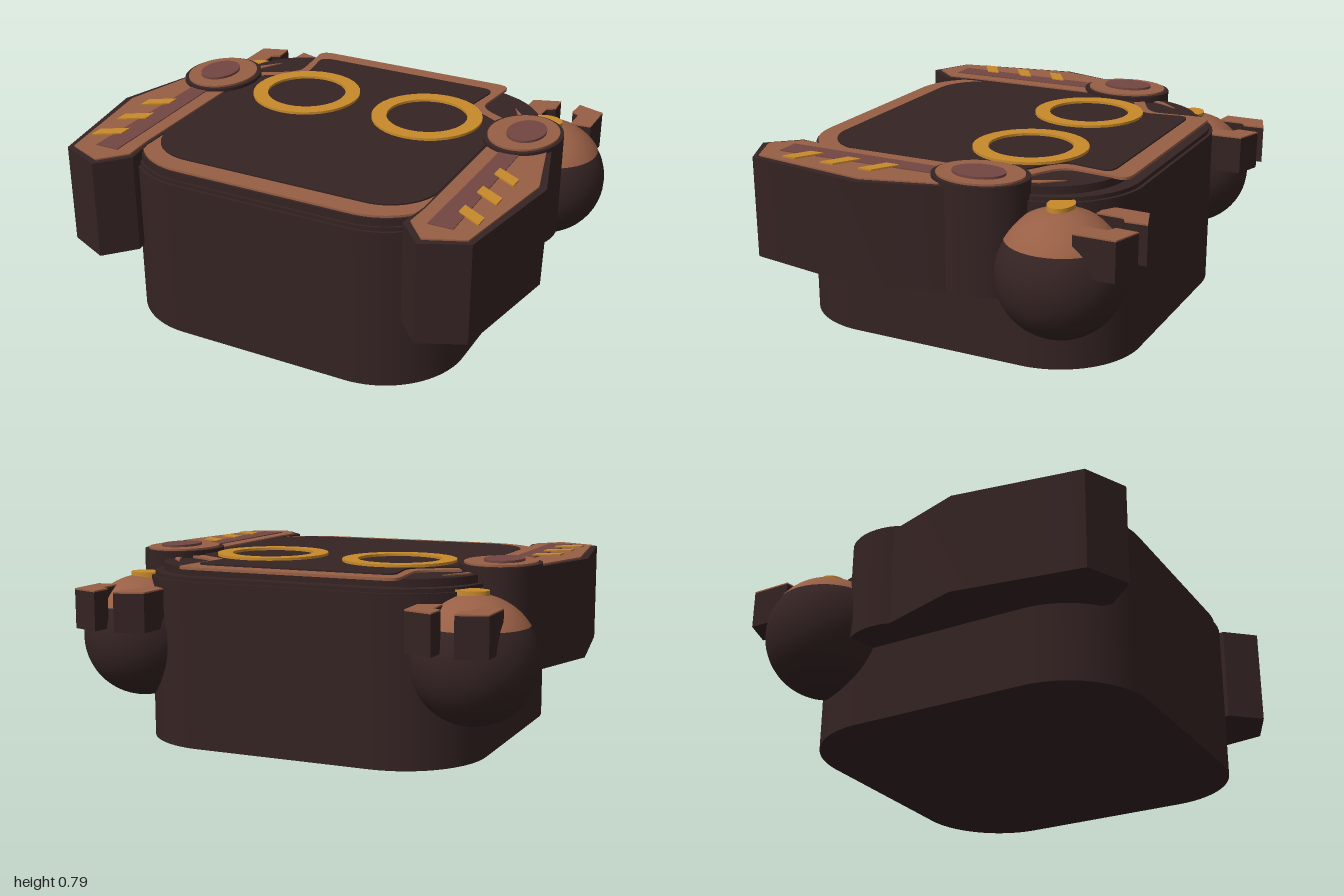
import * as THREE from 'three';
import { toCreasedNormals } from 'three/addons/utils/BufferGeometryUtils.js';

const mat = (name, color) => {
  const m = new THREE.MeshStandardMaterial({ color });
  m.name = name;
  return m;
};

export function createModel() {
  const model = new THREE.Group();
  model.name = 'model';
  const dark = mat('dark brown', 0x352323);
  const copper = mat('copper brown', 0x985f45);
  const gold = mat('gold', 0xc78a2b);
  const maroon = mat('maroon', 0x734642);

  const add = (parent, name, geo, material) => {
    const mesh = new THREE.Mesh(geo, material);
    mesh.name = name;
    parent.add(mesh);
    return mesh;
  };

  // Raises a floor-plan shape (x, -z) from height y0 to y1
  const raise = (shape, y0, y1) => {
    const geo = new THREE.ExtrudeGeometry(shape, { depth: y1 - y0, bevelEnabled: false, curveSegments: 16 });
    geo.rotateX(-Math.PI / 2).translate(0, y0, 0);
    return toCreasedNormals(geo, 0.5);
  };

  // Straight-sided plan from [x, z] points, optionally mirrored
  const plan = (points, side = 1) =>
    new THREE.Shape(points.map(([x, z]) => new THREE.Vector2(x * side, -z)));

  const roundedPlan = (hx, back, front, r) => {
    const s = new THREE.Shape();
    s.moveTo(-hx + r, -front);
    s.lineTo(hx - r, -front);
    s.absarc(hx - r, -front + r, r, -Math.PI / 2, 0);
    s.absarc(hx - r, -back - r, r, 0, Math.PI / 2);
    s.absarc(-hx + r, -back - r, r, Math.PI / 2, Math.PI);
    s.absarc(-hx + r, -front + r, r, Math.PI, Math.PI * 1.5);
    return s;
  };

  // Rounded front, narrow neck at the back with curved shoulders
  const neckedPlan = (hx, front, r, neck, back, shoulder) => {
    const s = new THREE.Shape();
    s.moveTo(-hx + r, -front);
    s.lineTo(hx - r, -front);
    s.absarc(hx - r, -front + r, r, -Math.PI / 2, 0);
    s.lineTo(hx, -shoulder - 0.05);
    s.bezierCurveTo(hx, -shoulder + 0.1, neck - 0.02, -shoulder + 0.08, neck - 0.02, -shoulder + 0.2);
    s.lineTo(neck, -back - 0.04);
    s.quadraticCurveTo(neck, -back, neck - 0.06, -back);
    s.lineTo(-neck + 0.06, -back);
    s.quadraticCurveTo(-neck, -back, -neck, -back - 0.04);
    s.lineTo(-neck + 0.02, -shoulder + 0.2);
    s.bezierCurveTo(-neck + 0.02, -shoulder + 0.08, -hx, -shoulder + 0.1, -hx, -shoulder - 0.05);
    s.lineTo(-hx, -front + r);
    s.absarc(-hx + r, -front + r, r, Math.PI, Math.PI * 1.5);
    return s;
  };

  // Body with stepped, softened top edge
  add(model, 'body', raise(roundedPlan(0.74, -0.715, 0.76, 0.36), 0, 0.69), dark);
  add(model, 'bodyShoulder', raise(roundedPlan(0.728, -0.7, 0.75, 0.35), 0.68, 0.706), dark);
  add(model, 'bodyTop', raise(roundedPlan(0.71, -0.64, 0.74, 0.33), 0.7, 0.738), dark);

  // Face trim and inner panel
  add(model, 'faceTrim', raise(neckedPlan(0.69, 0.73, 0.3, 0.48, -0.69, -0.26), 0.736, 0.747), copper);
  add(model, 'facePanel', raise(neckedPlan(0.625, 0.64, 0.22, 0.435, -0.605, -0.23), 0.745, 0.753), dark);

  // Outer [x, z] plans for the left side
  const armPlan = [[0.62, -0.15], [0.86, -0.2], [0.89, -0.1], [0.988, 0.225], [0.9, 0.76], [0.716, 0.845], [0.604, 0.72], [0.625, 0.58]];
  const armTopPlan = [[0.637, -0.1], [0.87, -0.1], [0.956, 0.225], [0.878, 0.745], [0.72, 0.812], [0.628, 0.705], [0.637, 0.58]];
  const stripPlan = [[0.705, -0.05], [0.785, -0.05], [0.798, 0.7], [0.695, 0.7]];
  const fingerPlans = [
    [[0.89, -0.81], [0.77, -0.85], [0.765, -0.76], [0.8, -0.74], [0.8, -0.63], [0.89, -0.64]],
    [[0.68, -0.85], [0.56, -0.81], [0.555, -0.64], [0.645, -0.63], [0.65, -0.74], [0.685, -0.76]],
  ];

  for (const side of [1, -1]) {
    const label = side > 0 ? 'left' : 'right';
    const disc = (parent, name, rx, rz, x, z, y0, y1, material) => {
      const geo = new THREE.CylinderGeometry(1, 1, y1 - y0, 40);
      geo.scale(rx, 1, rz).translate(x * side, (y0 + y1) / 2, z);
      add(parent, name, geo, material);
    };

    // Eye ring
    const ring = new THREE.Shape().absarc(side * 0.295, 0.185, 0.24, 0, Math.PI * 2);
    ring.holes.push(new THREE.Path().absarc(side * 0.295, 0.185, 0.175, 0, Math.PI * 2, true));
    add(model, label + 'EyeRing', raise(ring, 0.752, 0.764), gold);

    // Thin trim along the rear shoulder
    const sliver = [[0.59, -0.48], [0.66, -0.4], [0.7, -0.3], [0.67, -0.3], [0.64, -0.39]];
    add(model, label + 'ShoulderTrim', raise(plan(sliver, side), 0.736, 0.743), copper);

    // Arm with inset top, central strip and slanted stripes
    const arm = new THREE.Group();
    arm.name = label + 'Arm';
    model.add(arm);
    add(arm, 'armBlock', raise(plan(armPlan, side), 0.325, 0.75), dark);
    add(arm, 'armTop', raise(plan(armTopPlan, side), 0.748, 0.756), copper);
    add(arm, 'armStrip', raise(plan(stripPlan, side), 0.755, 0.76), maroon);
    for (let i = 0; i < 3; i++) {
      const z = 0.155 + i * 0.178;
      const stripe = [[0.765, z], [0.87, z + 0.065], [0.87, z + 0.125], [0.765, z + 0.06]];
      add(arm, 'armStripe', raise(plan(stripe, side), 0.758, 0.765), gold);
    }

    // Oval shoulder joint
    disc(arm, 'shoulderJoint', 0.165, 0.2, 0.735, -0.187, 0.325, 0.768, dark);
    disc(arm, 'shoulderCap', 0.147, 0.18, 0.737, -0.187, 0.766, 0.776, copper);
    disc(arm, 'shoulderInset', 0.08, 0.11, 0.75, -0.187, 0.775, 0.786, maroon);

    // Round hand with coloured dome
    const hand = new THREE.Group();
    hand.name = label + 'Hand';
    model.add(hand);
    const ball = add(hand, 'handBall', new THREE.SphereGeometry(0.256, 40, 28), dark);
    const dome = add(hand, 'handDome', new THREE.SphereGeometry(0.259, 40, 12, 0, Math.PI * 2, 0, 1.0), copper);
    for (const part of [ball, dome]) part.position.set(side * 0.738, 0.425, -0.527);
    disc(hand, 'handButton', 0.07, 0.052, 0.725, -0.52, 0.67, 0.697, gold);

    // Two hooked fingers
    for (const f of fingerPlans) {
      add(hand, 'finger', raise(plan(f, side), 0.485, 0.645), dark);
      add(hand, 'fingerTop', raise(plan(f, side), 0.645, 0.651), copper);
    }
  }
  return model;
}
